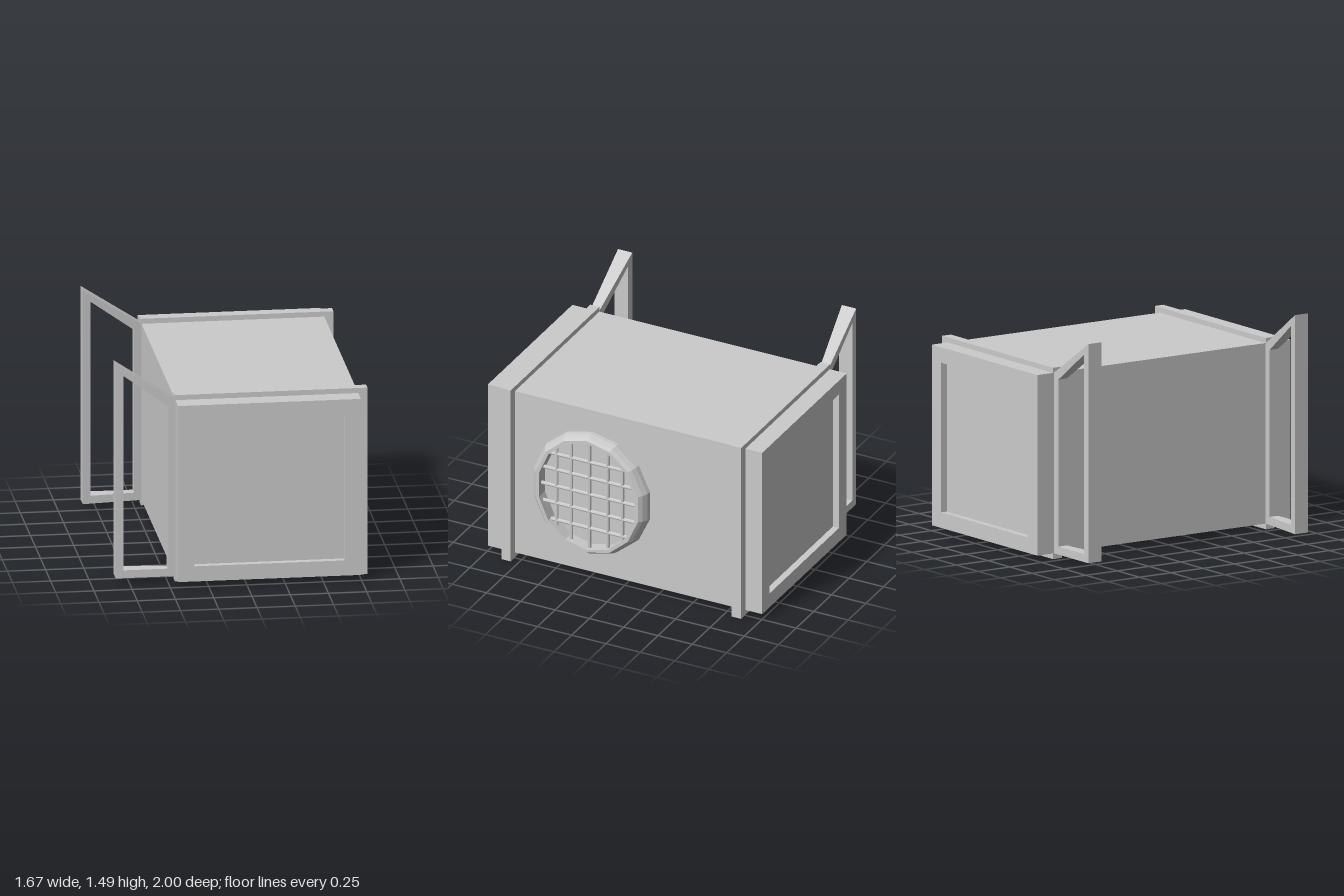
import * as THREE from 'three';

const material = new THREE.MeshStandardMaterial({ color: 0xcccccc, flatShading: true, side: THREE.DoubleSide });

function add(parent, name, geometry, x = 0, y = 0, z = 0) {
  const mesh = new THREE.Mesh(geometry, material);
  mesh.name = name;
  mesh.position.set(x, y, z);
  parent.add(mesh);
  return mesh;
}

// Box given by its lower and upper limits
function addBox(parent, name, [x0, y0, z0], [x1, y1, z1]) {
  return add(parent, name, new THREE.BoxGeometry(x1 - x0, y1 - y0, z1 - z0),
    (x0 + x1) / 2, (y0 + y1) / 2, (z0 + z1) / 2);
}

// Flat outline with one opening, extruded along z
function frameGeometry(outer, inner, depth) {
  const toPoints = list => list.map(([x, y]) => new THREE.Vector2(x, y));
  const shape = new THREE.Shape(toPoints(outer));
  shape.holes.push(new THREE.Path(toPoints(inner)));
  return new THREE.ExtrudeGeometry(shape, { depth, bevelEnabled: false });
}

const rectangle = (x0, y0, x1, y1) => [[x0, y0], [x1, y0], [x1, y1], [x0, y1]];

// Ring lofted through 14-sided oval sections [x, radius in y, radius in z]
function ringGeometry(sections, sides = 14) {
  const positions = [], index = [];
  for (const [x, ry, rz] of sections) {
    for (let i = 0; i < sides; i++) {
      const a = i / sides * Math.PI * 2;
      positions.push(x, Math.cos(a) * ry, Math.sin(a) * rz);
    }
  }
  for (let s = 0; s < sections.length - 1; s++) {
    for (let i = 0; i < sides; i++) {
      const a = s * sides + i, b = s * sides + (i + 1) % sides;
      index.push(a, b, a + sides, b, b + sides, a + sides);
    }
  }
  const geometry = new THREE.BufferGeometry();
  geometry.setAttribute('position', new THREE.Float32BufferAttribute(positions, 3));
  geometry.setIndex(index);
  geometry.computeVertexNormals();
  return geometry;
}

export function createModel() {
  const model = new THREE.Group();
  model.name = 'ventilationUnit';

  // Long square housing, with a recessed panel in each end
  addBox(model, 'housing', [-0.45, 0.037, -0.955], [0.745, 1.232, 0.955]);
  const rim = frameGeometry(rectangle(-0.45, 0.037, 0.745, 1.232),
    rectangle(-0.343, 0.14, 0.64, 1.13), 0.045);
  add(model, 'frontRim', rim, 0, 0, 0.955);
  add(model, 'backRim', rim, 0, 0, -1);

  // Raised bands near both ends
  addBox(model, 'frontBand', [-0.453, 0, 0.803], [0.805, 1.266, 0.87]);
  addBox(model, 'backBand', [-0.453, 0, -0.877], [0.805, 1.266, -0.808]);

  // Slanted open side frames, thickening away from the housing
  const outer = [[-0.84, 0.037], [-0.45, 0.037], [-0.45, 1.232], [-0.84, 1.487]];
  const inner = [[-0.788, 0.09], [-0.5, 0.09], [-0.5, 1.195], [-0.788, 1.407]];
  for (const side of [1, -1]) {
    const geometry = frameGeometry(outer, inner, 1);
    const p = geometry.attributes.position;
    for (let i = 0; i < p.count; i++) {
      const outward = (-0.45 - p.getX(i)) / 0.39;
      const z = p.getZ(i) > 0.5 ? 0.868 : 0.806 - 0.042 * outward;
      p.setZ(i, side * z);
    }
    geometry.computeVertexNormals();
    add(model, side > 0 ? 'frontSideFrame' : 'backSideFrame', geometry);
  }

  // Round vent on the left side of the housing
  const vent = new THREE.Group();
  vent.name = 'vent';
  vent.position.set(0, 0.635, 0.235);
  model.add(vent);
  add(vent, 'ventRing', ringGeometry([
    [0.74, 0.44, 0.43], [0.775, 0.438, 0.423], [0.81, 0.428, 0.405],
    [0.832, 0.413, 0.383], [0.832, 0.393, 0.358], [0.74, 0.393, 0.358],
  ]));

  // Crossed grille bars, cut to the oval opening
  const barX = 0.79, radius = 0.013;
  for (const z of [-0.24, -0.134, 0, 0.134, 0.24]) {
    const length = 2 * 0.395 * Math.sqrt(1 - (z / 0.36) ** 2);
    add(vent, 'verticalBar', new THREE.CylinderGeometry(radius, radius, length, 8), barX, 0, z);
  }
  for (const y of [-0.25, -0.125, 0, 0.122, 0.238]) {
    const length = 2 * 0.36 * Math.sqrt(1 - (y / 0.395) ** 2);
    add(vent, 'horizontalBar', new THREE.CylinderGeometry(radius, radius, length, 8), barX, y, 0)
      .rotation.x = Math.PI / 2;
  }
  return model;
}
